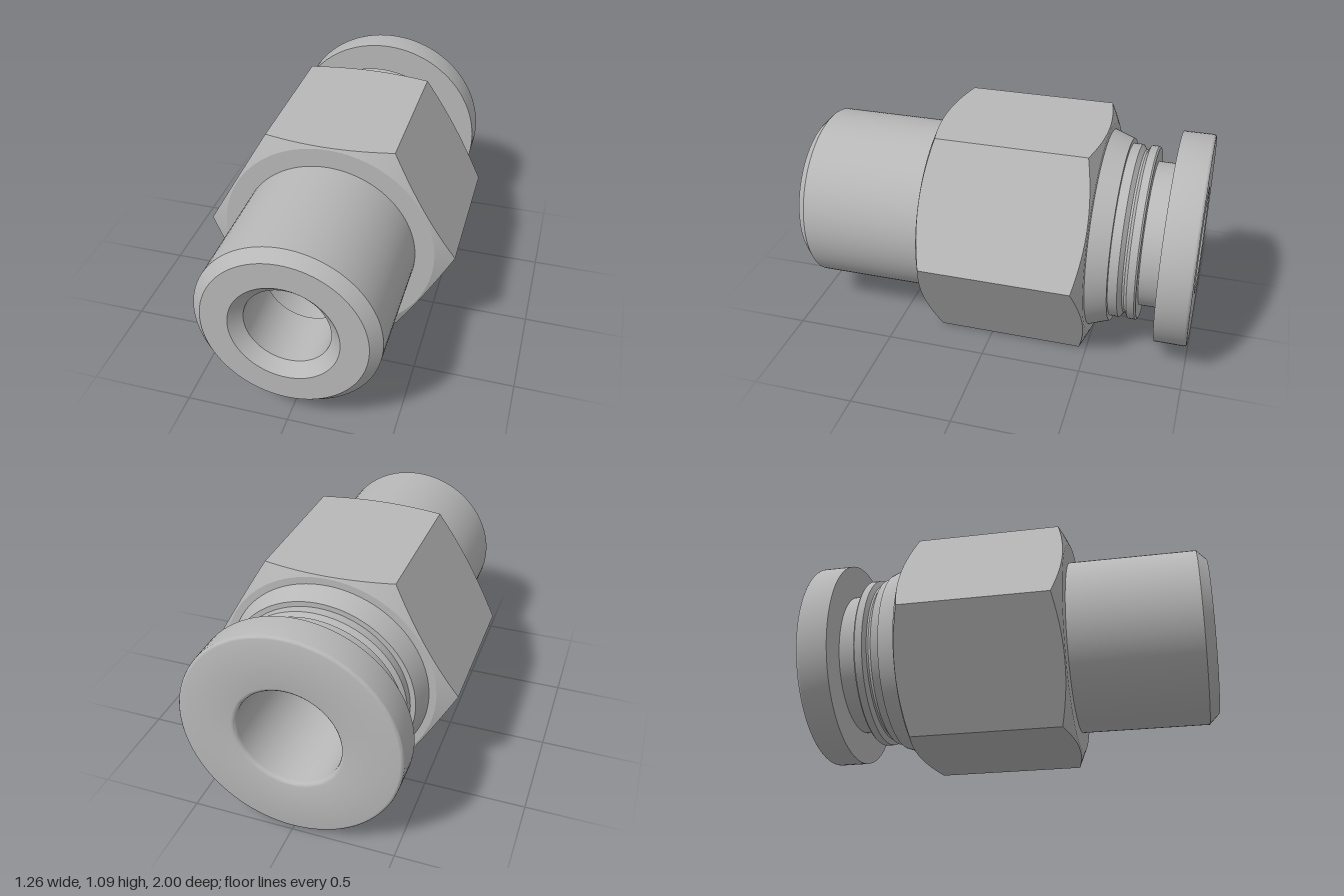
import * as THREE from 'three';
import { toCreasedNormals } from 'three/addons/utils/BufferGeometryUtils.js';

const SEGMENTS = 96;
const AXIS_Y = 0.545;   // height of the fitting's axis
const APOTHEM = 0.545;  // half the width across the nut's flats

// Revolve [radius, z] points around the z axis (outside runs back to front)
function revolve(profile, crease, reshape) {
  const points = profile.map(([r, z]) => new THREE.Vector2(r, z));
  const geometry = new THREE.LatheGeometry(points, SEGMENTS);
  if (reshape) reshape(geometry.attributes.position);
  geometry.rotateX(Math.PI / 2);
  return toCreasedNormals(geometry, crease);
}

// Quarter-round corner points
function fillet(cr, cz, radius, from, to) {
  return [0, 1, 2, 3].map((i) => {
    const a = from + ((to - from) * i) / 3;
    return [cr + radius * Math.cos(a), cz + radius * Math.sin(a)];
  });
}

// Push the rim of the nut out to a hexagon, following the conical chamfer
function makeHexagon(position) {
  const sector = Math.PI / 3;
  for (let i = 0; i < position.count; i++) {
    const x = position.getX(i), y = position.getY(i), z = position.getZ(i);
    const r = Math.hypot(x, z);
    if (r < 0.6) continue;
    const phi = Math.atan2(x, z);
    const offset = phi - Math.round(phi / sector) * sector;
    const hexR = APOTHEM / Math.cos(offset);
    const setback = (hexR - 0.535) * 0.45;
    position.setXYZ(i, (x / r) * hexR, y - Math.sign(y + 0.095) * setback, (z / r) * hexR);
  }
}

export function createModel() {
  const group = new THREE.Group();
  const metal = new THREE.MeshStandardMaterial({ color: 0xb8b8b8 });
  metal.name = 'greyMetal';

  const add = (name, geometry) => {
    const mesh = new THREE.Mesh(geometry, metal);
    mesh.name = name;
    mesh.position.y = AXIS_Y;
    group.add(mesh);
  };

  // Hexagonal nut with chamfered corners
  add('hexNut', revolve([
    [0.4, -0.505], [0.535, -0.505], [1, -0.505],
    [1, 0.315], [0.535, 0.315], [0.4, 0.315],
  ], 0.3, makeHexagon));

  // Grooved rear shoulder, front spigot and its narrow bore
  add('body', revolve([
    [0.36, -0.74], [0.432, -0.74], [0.44, -0.732], [0.44, -0.695],
    [0.415, -0.68], [0.415, -0.67], [0.44, -0.65], [0.44, -0.605],
    [0.465, -0.605], [0.5, -0.505], [0.44, -0.45],
    [0.44, 0.95], [0.39, 1], [0.26, 1], [0.205, 0.945],
    [0.205, 0.65], [0.25, 0.65],
  ], 0.6));

  // Release collar with neck and wide tube bore
  add('releaseCollar', revolve([
    [0.25, 0.65],
    ...fillet(0.27, -0.98, 0.02, Math.PI, Math.PI * 1.5),
    ...fillet(0.515, -0.985, 0.015, -Math.PI / 2, 0),
    [0.53, -0.84], [0.365, -0.84], [0.365, -0.735],
  ], 0.6));

  return group;
}
